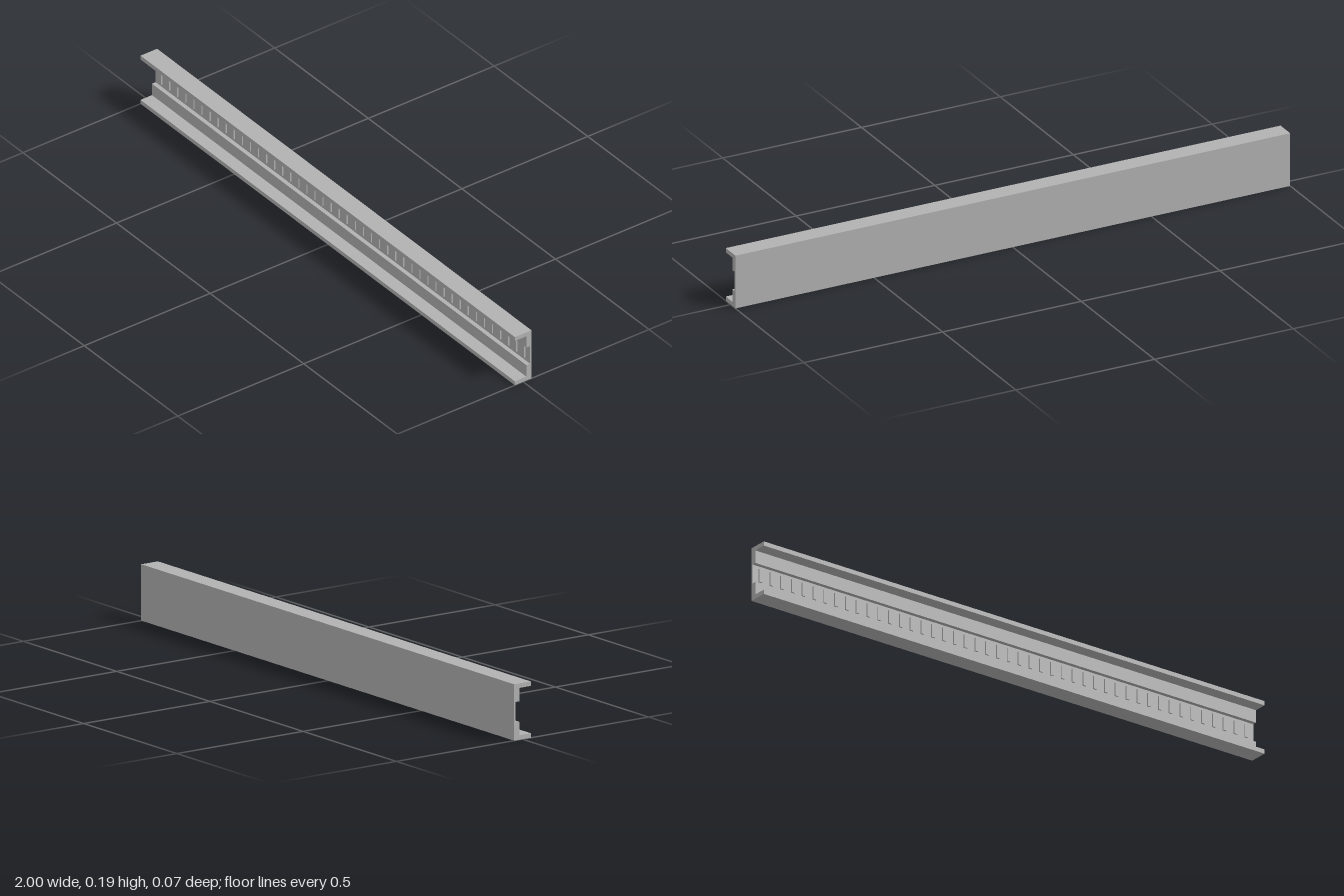
import * as THREE from 'three';

export function createModel() {
  const model = new THREE.Group();
  model.name = 'slottedChannelRail';
  const steel = new THREE.MeshStandardMaterial({ color: 0xb2b2b2 });
  steel.name = 'grey steel';

  const length = 2, height = 0.185;
  const front = 0.033, back = -0.033, web = -0.0125, recess = -0.027;

  // Channel section, drawn as (-z, y) so that the extrusion runs along +x
  const lower = [[front, 0], [front, 0.015], [web, 0.015], [web, 0.059], [recess, 0.059]];
  const upper = lower.map(([z, y]) => [z, height - y]).reverse();
  const section = [[back, 0], ...lower, ...upper, [back, height]];
  const shape = new THREE.Shape(section.map(([z, y]) => new THREE.Vector2(-z, y)));
  const channelGeometry = new THREE.ExtrudeGeometry(shape, { depth: length, bevelEnabled: false });
  channelGeometry.rotateY(Math.PI / 2);
  channelGeometry.translate(-length / 2, 0, 0);
  const channel = new THREE.Mesh(channelGeometry, steel);
  channel.name = 'channel';
  model.add(channel);

  // Row of shallow upright ribs in the recess
  const ribs = new THREE.Group();
  ribs.name = 'ribs';
  const count = 46, reach = 0.97, depth = 0.005;
  const ribGeometry = new THREE.BoxGeometry(0.012, 0.046, depth);
  for (let i = 0; i < count; i++) {
    const rib = new THREE.Mesh(ribGeometry, steel);
    rib.name = 'rib';
    rib.position.set(-reach + (2 * reach * i) / (count - 1), 0.093, recess + depth / 2);
    ribs.add(rib);
  }
  model.add(ribs);

  return model;
}
